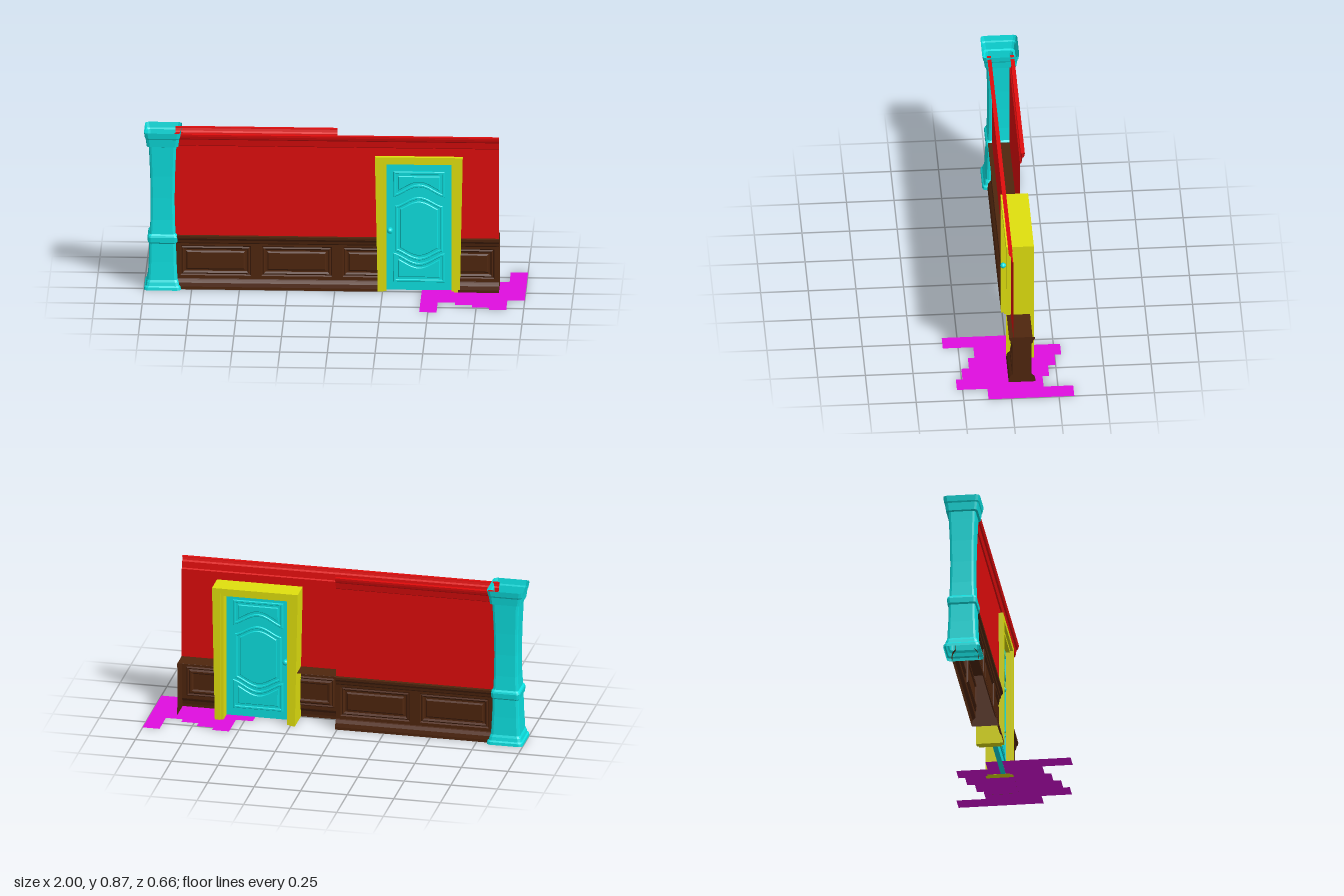
import * as THREE from 'three';

const mat = (color) => new THREE.MeshStandardMaterial({ color, flatShading: true, side: THREE.DoubleSide });
const RED = mat(0xe00c0c), BROWN = mat(0x4f260e), TEAL = mat(0x0ce0e0), YELLOW = mat(0xe0e00e), MAGENTA = mat(0xe00ee0);
const MID = -0.065; // z of the wall's centre plane

function add(parent, name, geometry, material) {
  const m = new THREE.Mesh(geometry, material);
  m.name = name;
  parent.add(m);
  return m;
}

function group(parent, name) {
  const g = new THREE.Group();
  g.name = name;
  parent.add(g);
  return g;
}

// Skin a series of equal-length point rings; optionally closed around and capped by a quad
function loft(rings, closed = false, cap = false) {
  const n = rings[0].length, idx = [];
  for (let i = 0; i < rings.length - 1; i++) {
    for (let j = 0; j < (closed ? n : n - 1); j++) {
      const a = i * n + j, b = i * n + (j + 1) % n;
      idx.push(a, a + n, b + n, a, b + n, b);
    }
  }
  const e = (rings.length - 1) * n;
  if (cap) idx.push(e, e + 2, e + 1, e, e + 3, e + 2);
  const g = new THREE.BufferGeometry();
  g.setAttribute('position', new THREE.Float32BufferAttribute(rings.flat(2), 3));
  g.setIndex(idx);
  const flat = g.toNonIndexed();
  flat.computeVertexNormals();
  return flat;
}

// Run a [y, z] profile from x0 to x1
const strip = (profile, x0, x1) => loft([x0, x1].map((x) => profile.map(([y, z]) => [x, y, z])));

const BASE = [[0, 0.07], [0.015, 0.07], [0.035, 0.066], [0.042, 0.06], [0.05, 0.052], [0.055, 0.05], [0.072, 0.05]];
const RAIL = [[0.236, 0.05], [0.248, 0.05], [0.255, 0.056], [0.268, 0.058], [0.28, 0.067], [0.293, 0.068]];
const CROWN = [[0.787, 0.046], [0.792, 0.053], [0.825, 0.058], [0.832, 0.066], [0.845, 0.07], [0.856, 0.071], [0.856, 0.05]];
const PANEL = [[0, 0.05], [0.006, 0.043], [0.013, 0.047], [0.022, 0.04], [0.03, 0.04], [0.038, 0.047]]; // inset, z

// Panelled lower wall from x0 to x1; panels reaching past an end are cut there
function wainscot(parent, x0, x1, starts) {
  const g = group(parent, 'wainscot');
  add(g, 'baseboard', strip(BASE, x0, x1), BROWN);
  add(g, 'chairRail', strip(RAIL, x0, x1), BROWN);
  const clip = (x) => Math.min(x1, Math.max(x0, x));
  const stile = (a, b) => b - a > 0.001 && add(g, 'stile', strip([[0.072, 0.05], [0.236, 0.05]], a, b), BROWN);
  let cursor = x0;
  for (const s of starts) {
    stile(cursor, clip(s));
    const rings = PANEL.map(([d, z]) => {
      const l = clip(s + d), r = clip(s + 0.37 - d), b = 0.072 + d, t = 0.236 - d;
      return [[l, b, z], [l, t, z], [r, t, z], [r, b, z]];
    });
    add(g, 'panel', loft(rings, true, true), BROWN);
    cursor = clip(s + 0.37);
  }
  stile(cursor, x1);
}

// Closed outline of a door panel whose top and bottom edges bulge in the middle
function outline(p, inset) {
  const l = -p.w / 2 + inset, r = p.w / 2 - inset, N = 20, pts = [];
  const bump = (x) => Math.pow(0.5 + 0.5 * Math.cos((2 * Math.PI * x) / p.w), 0.8);
  for (let i = 0; i <= N; i++) {
    const x = l + ((r - l) * i) / N;
    pts.push(new THREE.Vector2(x, p.y0 + inset + p.low * bump(x)));
  }
  for (let i = N; i >= 0; i--) {
    const x = l + ((r - l) * i) / N;
    pts.push(new THREE.Vector2(x, p.y1 - inset + p.high * bump(x)));
  }
  return pts;
}

function extrude(pts, hole, depth, bevel = 0) {
  const s = new THREE.Shape(pts);
  if (hole) s.holes.push(new THREE.Path(hole));
  return new THREE.ExtrudeGeometry(s, {
    depth, bevelEnabled: bevel > 0, bevelSize: bevel, bevelOffset: -bevel, bevelThickness: bevel, bevelSegments: 1,
  });
}

function buildColumn(root) {
  const profile = [[0, 0.097], [0.015, 0.095], [0.022, 0.088], [0.04, 0.084], [0.052, 0.078], [0.15, 0.073], [0.25, 0.07],
    [0.258, 0.077], [0.285, 0.079], [0.294, 0.076], [0.302, 0.068], [0.38, 0.064], [0.5, 0.063], [0.62, 0.065],
    [0.74, 0.07], [0.785, 0.072], [0.789, 0.083], [0.83, 0.088], [0.838, 0.092], [0.868, 0.097]];
  const rings = profile.map(([y, h]) => {
    const ring = [], r = h * 0.2;
    for (let c = 0; c < 4; c++) {
      const mid = Math.PI / 4 + (c * Math.PI) / 2;
      for (const k of [-1, 0, 1]) {
        const a = mid + (k * Math.PI) / 4;
        ring.push([Math.sign(Math.cos(mid)) * (h - r) + r * Math.cos(a), y,
          Math.sign(Math.sin(mid)) * (h - r) + r * Math.sin(a)]);
      }
    }
    return ring;
  });
  add(root, 'column', loft(rings, true), TEAL).position.set(-0.903, 0, MID);
}

function buildWall(root) {
  const front = group(root, 'frontWall'), back = group(root, 'backWall');
  front.position.z = back.position.z = MID;
  back.rotation.y = Math.PI;

  // Upper wall and crown, leaving the doorway open
  const face = (y) => [[y, 0.046], [0.787, 0.046]];
  add(front, 'upperWall', strip(face(0.293), -0.84, 0.235), RED);
  add(front, 'upperWall', strip(face(0.293), 0.645, 0.86), RED);
  add(front, 'wallOverDoor', strip(face(0.73), 0.235, 0.645), RED);
  add(front, 'crown', strip(CROWN, -0.84, 0.86), RED);
  add(back, 'upperWall', strip(face(0.293), -0.01, 0.84), RED);
  add(back, 'crown', strip(CROWN, -0.01, 0.84), RED);

  wainscot(front, -0.84, 0.235, [-0.81, -0.385, 0.04]);
  wainscot(front, 0.645, 0.86, [0.465]);
  wainscot(back, -0.01, 0.84, [0.015, 0.44]);

  // Flat ledge on top of the wainscot
  for (const [a, b, z] of [[-0.84, 0.01, -0.068], [0.01, 0.235, -0.055], [0.645, 0.86, -0.055]]) {
    add(front, 'ledge', strip([[0.293, 0.068], [0.293, z]], a, b), BROWN);
  }
  // End plates in the wainscot's section
  const half = [...BASE, ...RAIL];
  const section = [...half.map(([y, z]) => new THREE.Vector2(z, y)),
    ...half.map(([y, z]) => new THREE.Vector2(-z, y)).reverse()];
  for (const x of [0.01, 0.86]) {
    const end = add(front, 'endPlate', new THREE.ShapeGeometry(new THREE.Shape(section)), BROWN);
    end.rotation.y = Math.PI / 2;
    end.position.x = x;
  }
}

function buildDoor(root) {
  const door = group(root, 'door');
  door.position.set(0.44, 0, -0.045);

  // Casing legs flare slightly toward the top, with a stepped jamb inside
  const arch = (wBottom, wTop, h, iw, ih) => [[-wBottom, 0], [-wTop, h], [wTop, h], [wBottom, 0],
    [iw, 0], [iw, ih], [-iw, ih], [-iw, 0]].map(([x, y]) => new THREE.Vector2(x, y));
  add(door, 'casing', extrude(arch(0.215, 0.23, 0.744, 0.186, 0.716), null, 0.145), YELLOW).position.z = -0.095;
  add(door, 'jamb', extrude(arch(0.188, 0.188, 0.718, 0.17, 0.7), null, 0.12), YELLOW).position.z = -0.085;

  const slab = add(door, 'slab', new THREE.BoxGeometry(0.342, 0.7, 0.026), TEAL);
  slab.position.y = 0.35;

  const panels = [
    { w: 0.27, y0: 0.515, y1: 0.655, low: 0.055, high: 0 },
    { w: 0.25, y0: 0.215, y1: 0.465, low: -0.05, high: 0.05 },
    { w: 0.27, y0: 0.045, y1: 0.205, low: 0, high: -0.055 },
  ];
  for (const turn of [0, Math.PI]) {
    const side = group(door, 'doorFace');
    side.rotation.y = turn;
    for (const p of panels) {
      add(side, 'panelMoulding', extrude(outline(p, 0), outline(p, 0.014), 0.004, 0.003), TEAL).position.z = 0.013;
      add(side, 'panelField', extrude(outline(p, 0.026), null, 0.001, 0.004), TEAL).position.z = 0.013;
    }
    // Knob on its round plate
    const x = turn ? 0.152 : -0.152;
    const plate = add(side, 'knobPlate', new THREE.CylinderGeometry(0.013, 0.015, 0.005, 16), TEAL);
    plate.rotation.x = Math.PI / 2;
    plate.position.set(x, 0.33, 0.0155);
    const stem = add(side, 'knobStem', new THREE.CylinderGeometry(0.006, 0.006, 0.02, 12), TEAL);
    stem.rotation.x = Math.PI / 2;
    stem.position.set(x, 0.335, 0.025);
    add(side, 'knob', new THREE.SphereGeometry(0.015, 16, 10), TEAL).position.set(x, 0.335, 0.042);
  }
}

// Staggered floor boards at the doorway
function buildFloor(root) {
  const floor = group(root, 'floorBoards');
  const boards = [[-0.12, 0.33], [-0.285, 0.17], [-0.25, 0.205], [-0.21, 0.245], [-0.175, 0.28], [-0.33, 0.12]];
  const w = 0.545 / boards.length;
  boards.forEach(([z0, z1], i) => {
    const b = add(floor, 'floorBoard', new THREE.PlaneGeometry(w, z1 - z0), MAGENTA);
    b.rotation.x = -Math.PI / 2;
    b.position.set(0.455 + w * (i + 0.5), 0.001, (z0 + z1) / 2);
  });
}

export function createModel() {
  const root = new THREE.Group();
  root.name = 'wallWithDoor';
  buildColumn(root);
  buildWall(root);
  buildDoor(root);
  buildFloor(root);
  return root;
}
